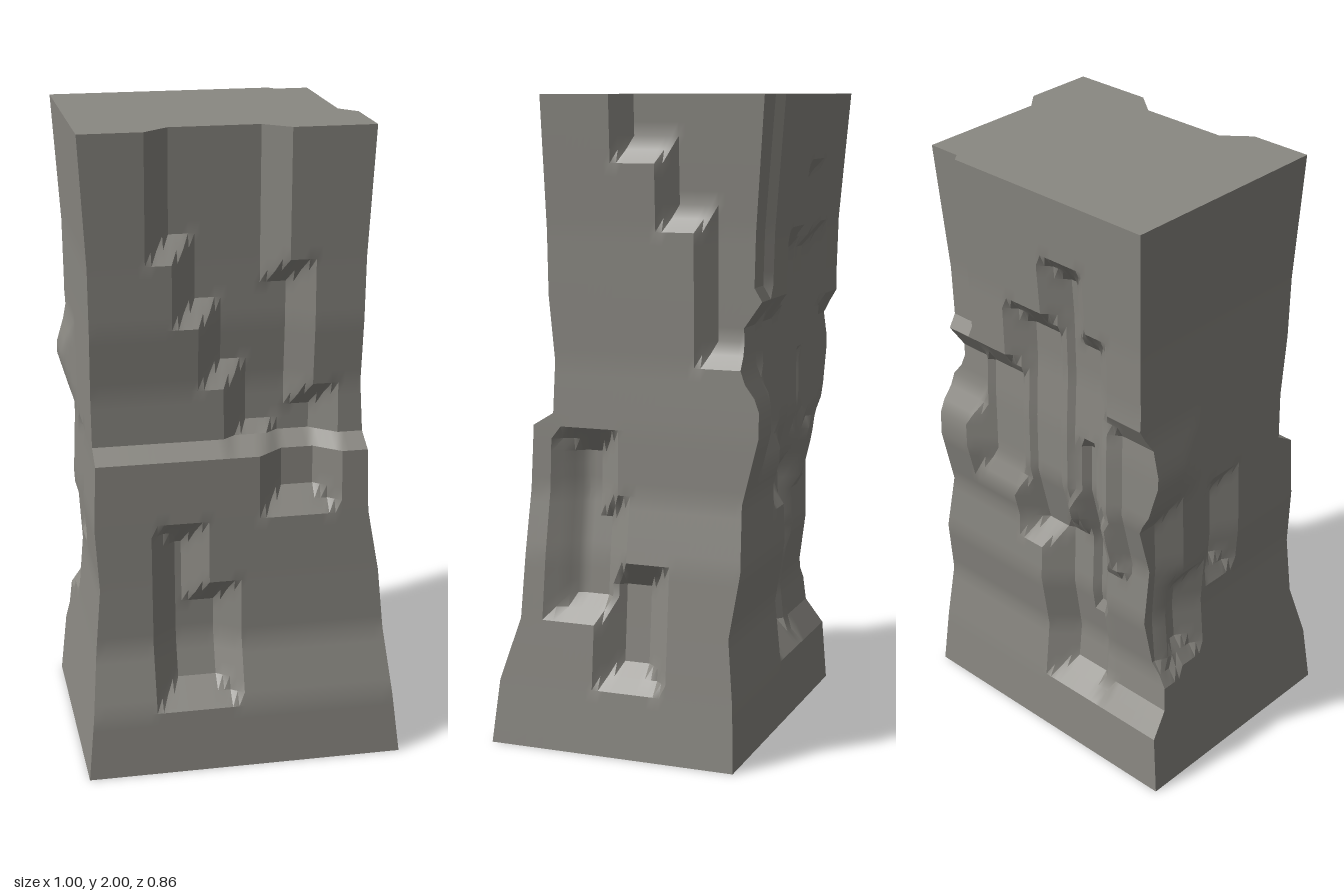
import * as THREE from 'three';
import { toCreasedNormals, mergeVertices } from 'three/addons/utils/BufferGeometryUtils.js';

// Outline of the uncut pillar: [y, distance] for each side
const PROFILE = {
  front: [[0, .43], [.2, .41], [.4, .345], [.6, .335], [.8, .328], [1, .32], [1.04, .255], [1.2, .25], [1.4, .268], [1.6, .27], [2, .28]],
  right: [[0, .5], [.2, .478], [.4, .458], [.6, .44], [.8, .405], [1, .4], [1.2, .39], [1.6, .395], [2, .415]],
  back: [[0, .365], [.2, .355], [.4, .335], [.6, .365], [.8, .357], [1, .405], [1.2, .405], [1.4, .395], [1.6, .4], [2, .43]],
  left: [[0, .5], [.2, .48], [.4, .46], [.6, .443], [.8, .455], [1, .447], [1.4, .45], [1.6, .452], [2, .475]],
};

// Chips cut into each side: [u0, u1, y0, y1, depth, slope width]; u is x on front/back, z on left/right
const CUTS = {
  front: [
    // Stepped diagonal recess
    [-.28, .16, 1.6, 2.2, .065], [-.2, .16, 1.4, 2.2, .065], [-.2, .24, 1.4, 1.6, .065],
    [-.12, .24, 1.2, 1.6, .065], [-.04, .24, 1, 1.6, .065], [-.04, .32, 1, 1.2, .065],
    [.06, .32, .8, 1.2, .065],
    // Lower notch
    [-.28, -.1, .2, .8, .06], [-.28, 0, .2, .6, .06],
  ],
  right: [
    // Cut-away upper corner
    [-.9, .06, 1.8, 2.2, .05, .06], [-.9, -.08, 1.6, 2.2, .05, .06], [-.9, -.2, 1.2, 2.2, .05, .06],
    // Lower chips
    [.04, .25, .4, 1, .07], [0, .2, .4, .8, .07], [-.14, .1, .2, .6, .07],
  ],
  back: [
    [.24, .9, 1.4, 2.2, .025, .02],
    // Wide diagonal recess
    [-.24, -.06, 1.2, 1.8, .06], [-.32, -.06, .9, 1.6, .06], [-.16, .1, .72, 1.6, .06],
    [0, .28, .9, 1.4, .06], [.16, .9, 1.1, 1.4, .06],
    // Broken lower corner and slot
    [-.9, -.26, .48, 1.36, .05], [-.9, 0, .2, .8, .05], [-.28, -.1, .48, 1.24, .09], [-.28, 0, .2, .9, .07],
  ],
  left: [
    [-.9, -.12, 1.04, 1.32, -.035, .12],
    [-.9, -.2, .36, 1.04, .045], [-.28, -.1, .4, .76, .05], [-.1, .06, .64, 1.04, .05],
  ],
};

const STEP = .02, ROWS = 50;

function profileAt(points, y) {
  for (let i = 1; i < points.length; i++) {
    const [y0, d0] = points[i - 1], [y1, d1] = points[i];
    if (y <= y1 + 1e-6) return d0 + (d1 - d0) * (y - y0) / (y1 - y0);
  }
  return points[points.length - 1][1];
}

// Distance of a side from the axis after its chips are cut
function surface(side, u, y) {
  let depth = 0;
  for (const [u0, u1, y0, y1, d, slope = .08] of CUTS[side]) {
    const inside = Math.min(u - u0, u1 - u, y - y0, y1 - y);
    const cut = d * THREE.MathUtils.clamp(inside / slope, 0, 1);
    if (Math.abs(cut) > Math.abs(depth)) depth = cut;
  }
  return profileAt(PROFILE[side], y) - depth;
}

// Column positions: an even middle, with the last few columns stretched to the corners
function columns(min, max, low, high) {
  const list = [];
  const edge = 4;
  for (let i = 0; i < edge; i++) list.push([low + (min - low) * i / edge, -1, i / edge]);
  const n = Math.round((max - min) / STEP);
  for (let i = 0; i <= n; i++) list.push([min + i * STEP, 0, 0]);
  for (let i = 1; i <= edge; i++) list.push([max + (high - max) * i / edge, 1, i / edge]);
  return list;
}
const XCOLS = columns(-.34, .34, -.44, .44);
const ZCOLS = columns(-.28, .2, -.38, .3);

// Coordinate along a side, between its two real corners
function along([u, end, t], cols, low, high) {
  if (end < 0) return low + (cols[4][0] - low) * t;
  if (end > 0) { const m = cols[cols.length - 5][0]; return m + (high - m) * t; }
  return u;
}

// One closed horizontal ring, anticlockwise from above
function ring(y) {
  const xEnd = z => [-surface('left', z, y), surface('right', z, y)];
  const zEnd = x => [-surface('back', x, y), surface('front', x, y)];
  const [xlF, xrF] = xEnd(.3), [xlB, xrB] = xEnd(-.38);
  const [zbL, zfL] = zEnd(-.44), [zbR, zfR] = zEnd(.44);
  const front = XCOLS.map(c => [along(c, XCOLS, xlF, xrF), zEnd(c[0])[1]]);
  const back = XCOLS.map(c => [along(c, XCOLS, xlB, xrB), zEnd(c[0])[0]]).reverse();
  const right = ZCOLS.map(c => [xEnd(c[0])[1], along(c, ZCOLS, zbR, zfR)]).reverse();
  const left = ZCOLS.map(c => [xEnd(c[0])[0], along(c, ZCOLS, zbL, zfL)]);
  return [front, right, back, left].flatMap(side => side.slice(0, -1));
}

function sidesGeometry(rings) {
  const positions = [], index = [], n = rings[0].length;
  rings.forEach((r, j) => r.forEach(([x, z]) => positions.push(x, j * 2 / ROWS, z)));
  for (let j = 0; j < ROWS; j++) {
    for (let i = 0; i < n; i++) {
      const k = (i + 1) % n;
      const a = j * n + i, b = j * n + k, c = b + n, d = a + n;
      index.push(a, b, c, a, c, d);
    }
  }
  const geometry = new THREE.BufferGeometry();
  geometry.setAttribute('position', new THREE.Float32BufferAttribute(positions, 3));
  geometry.setIndex(index);
  return toCreasedNormals(mergeVertices(geometry), .42);
}

function capGeometry(points, up) {
  const shape = new THREE.Shape(points.map(([x, z]) => new THREE.Vector2(x, up ? -z : z)));
  return new THREE.ShapeGeometry(shape).rotateX(up ? -Math.PI / 2 : Math.PI / 2);
}

export function createModel() {
  const stone = new THREE.MeshStandardMaterial({ color: 0x8a8882 });
  stone.name = 'grey stone';
  const group = new THREE.Group();
  group.name = 'stonePillar';
  const rings = Array.from({ length: ROWS + 1 }, (_, j) => ring(j * 2 / ROWS));

  const add = (name, geometry, y = 0) => {
    const mesh = new THREE.Mesh(geometry, stone);
    mesh.name = name;
    mesh.position.y = y;
    group.add(mesh);
  };
  add('chippedSides', sidesGeometry(rings));
  add('topFace', capGeometry(rings[ROWS], true), 2);
  add('bottomFace', capGeometry(rings[0], false));
  return group;
}
